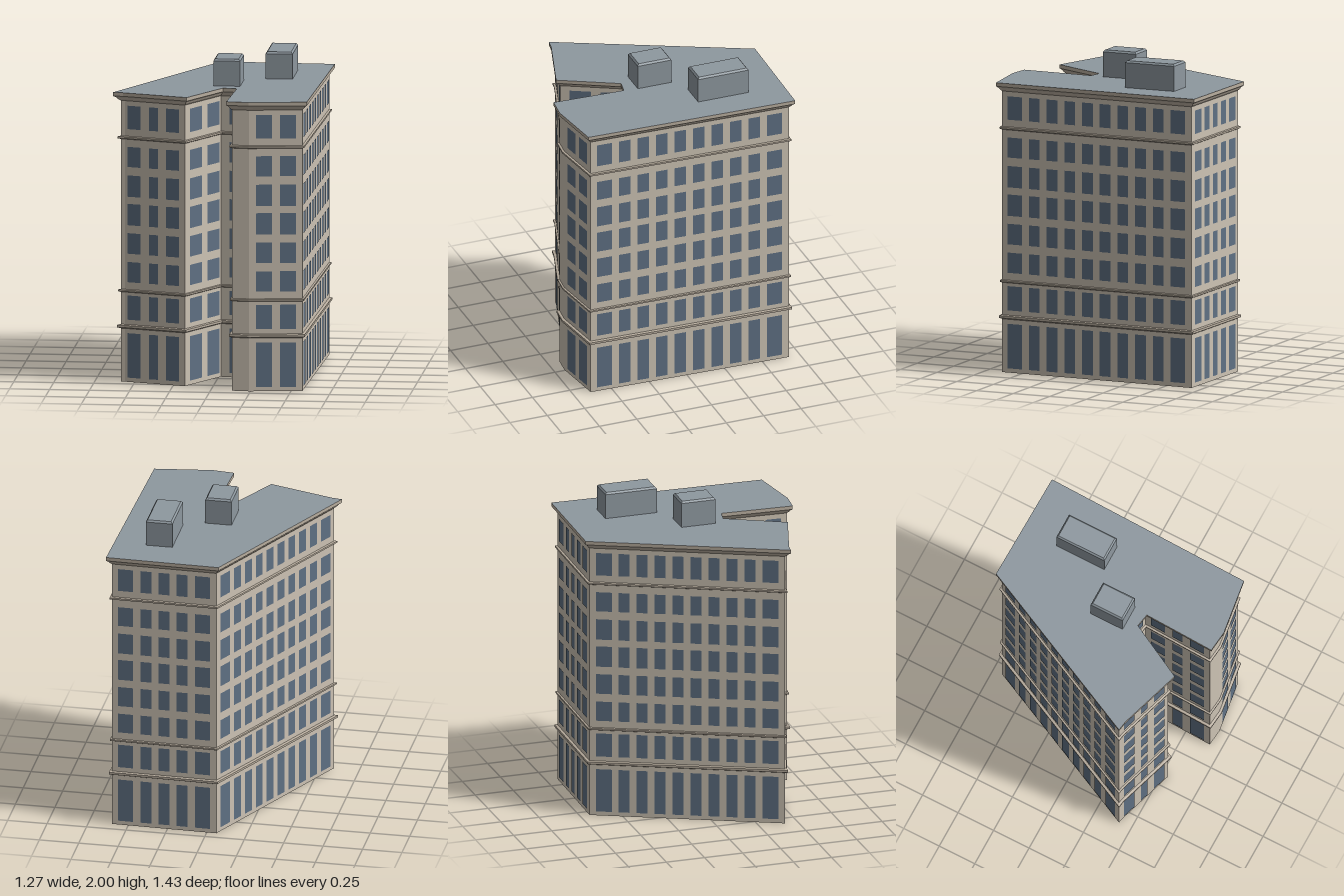
import * as THREE from 'three';

const material = (name, color, side = THREE.FrontSide) => {
  const m = new THREE.MeshStandardMaterial({ color, side });
  m.name = name;
  return m;
};

// Plan of the roof edge as [x, z], starting at the back
const ROOF = [
  [-0.08, -0.72], [0.635, -0.705], [0.6, 0.665], [0.24, 0.715], [0.1, 0.7],
  [0.118, 0.237], [0.03, 0.22], [-0.16, 0.58], [-0.57, 0.45], [-0.635, 0.44],
];
const OVERHANG = 0.031;

// Window rows as [bottom, top]
const ROWS = [
  [0.027, 0.308], [0.393, 0.546], [0.63, 0.758], [0.81, 0.94],
  [0.99, 1.125], [1.17, 1.305], [1.358, 1.485], [1.597, 1.745],
];

// Windows on each wall: count, start margin, end margin, width of end and middle windows
const WALLS = [
  { name: 'backWindows', edge: 0, layout: [5, 0.04, 0.04, 0.095, 0.07] },
  { name: 'leftSideWindows', edge: 1, layout: [10, 0.045, 0.04, 0.1, 0.075] },
  { name: 'frontWingWindows', edge: 2, layout: [2, 0.04, 0.045, 0.1, 0.1] },
  { name: 'courtLeftWindows', edge: 4, layout: [3, 0.04, 0.04, 0.1, 0.075] },
  { name: 'courtBackWindows', edge: 5, layout: [1, 0.03, 0.048, 0.053, 0.053] },
  { name: 'courtRightWindows', edge: 6, layout: [2, 0.02, 0.055, 0.135, 0.135] },
  { name: 'frontCornerWindows', edge: 7, layout: [3, 0.037, 0.02, 0.088, 0.06] },
  { name: 'rightSideWindows', edge: 9, layout: [10, 0.04, 0.04, 0.1, 0.07] },
];

// Outward unit normal of the edge a-b
function edgeNormal(a, b) {
  const dx = b[0] - a[0], dz = b[1] - a[1], l = Math.hypot(dx, dz);
  return [dz / l, -dx / l];
}

// Mitred offset of a closed plan
function offset(plan, d) {
  const n = plan.length;
  return plan.map((p, i) => {
    const u = edgeNormal(plan[(i + n - 1) % n], p);
    const v = edgeNormal(p, plan[(i + 1) % n]);
    const k = d / (1 + u[0] * v[0] + u[1] * v[1]);
    return [p[0] + (u[0] + v[0]) * k, p[1] + (u[1] + v[1]) * k];
  });
}

function flatGeometry(positions) {
  const g = new THREE.BufferGeometry();
  g.setAttribute('position', new THREE.Float32BufferAttribute(positions, 3));
  g.computeVertexNormals();
  return g;
}

// Outward quad from a to b, given the heights and plan points at both levels
function quad(out, a0, b0, y0, a1, b1, y1) {
  const bl = [b0[0], y0, b0[1]], al = [a0[0], y0, a0[1]];
  const ah = [a1[0], y1, a1[1]], bh = [b1[0], y1, b1[1]];
  out.push(...bl, ...al, ...ah, ...bl, ...ah, ...bh);
}

// Skin through a stack of [offset, y] rings around a plan
function skin(plan, rings) {
  const out = [], n = plan.length;
  const loops = rings.map(([d]) => offset(plan, d));
  for (let r = 0; r + 1 < rings.length; r++)
    for (let i = 0; i < n; i++) {
      const j = (i + 1) % n;
      quad(out, loops[r][i], loops[r][j], rings[r][1], loops[r + 1][i], loops[r + 1][j], rings[r + 1][1]);
    }
  return flatGeometry(out);
}

// Horizontal slab face
function cap(plan, y) {
  const shape = new THREE.Shape(plan.map(([x, z]) => new THREE.Vector2(x, -z)));
  return new THREE.ShapeGeometry(shape).rotateX(-Math.PI / 2).translate(0, y, 0);
}

// All panes of one wall, as thin faces just in front of it
function windows(a, b, [count, start, end, endWidth, midWidth]) {
  const out = [], nrm = edgeNormal(a, b);
  const length = Math.hypot(b[0] - a[0], b[1] - a[1]);
  const widths = Array.from({ length: count }, (_, i) => (i === 0 || i === count - 1 ? endWidth : midWidth));
  const glass = widths.reduce((s, w) => s + w, 0);
  const gap = count > 1 ? (length - start - end - glass) / (count - 1) : 0;
  const at = (s) => [0, 1].map((k) => a[k] + ((b[k] - a[k]) * s) / length + nrm[k] * 0.003);
  let s = start;
  for (const w of widths) {
    const p = at(s), q = at(s + w);
    for (const [y0, y1] of ROWS) quad(out, p, q, y0, p, q, y1);
    s += w + gap;
  }
  return flatGeometry(out);
}

export function createModel() {
  const stone = material('stone', 0xcdc3b4, THREE.DoubleSide);
  const trim = material('trim', 0xb9ae9f);
  const glass = material('glass', 0x5f7083);
  const roofing = material('roofing', 0x8e989f);

  const model = new THREE.Group();
  model.name = 'building';
  const add = (name, geometry, mat) => {
    const mesh = new THREE.Mesh(geometry, mat);
    mesh.name = name;
    model.add(mesh);
  };

  const plan = offset(ROOF, -OVERHANG);

  // Hollow ground floor with a ceiling, open underneath
  add('walls', skin(plan, [[0, 0], [0, 1.8]]), stone);
  add('groundFloorCeiling', cap(plan, 0.36), stone);

  // Windows
  for (const { name, edge, layout } of WALLS)
    add(name, windows(plan[edge], plan[(edge + 1) % plan.length], layout), glass);

  // String courses
  for (const [name, y, d, h] of [
    ['lowerBand', 0.349, 0.016, 0.013],
    ['middleBand', 0.575, 0.011, 0.009],
    ['upperBand', 1.542, 0.013, 0.01],
  ])
    add(name, skin(plan, [[0, y - h], [d, y - h * 0.4], [d, y + h * 0.7], [0, y + h]]), trim);

  // Cornice and roof
  add('cornice', skin(plan, [
    [0, 1.775], [0.012, 1.787], [0.016, 1.795], [OVERHANG, 1.807], [OVERHANG, 1.83],
  ]), trim);
  add('roof', cap(ROOF, 1.83), roofing);

  // Rooftop plant rooms with bevelled tops
  for (const [name, x0, x1, z0, z1] of [
    ['frontPlantRoom', -0.037, 0.13, -0.077, 0.148],
    ['backPlantRoom', 0.26, 0.428, -0.475, -0.138],
  ]) {
    const box = [[x0, z0], [x1, z0], [x1, z1], [x0, z1]];
    add(name, skin(box, [[0, 1.83], [0, 1.988], [-0.01, 2]]), roofing);
    add(name + 'Top', cap(offset(box, -0.01), 2), roofing);
  }
  return model;
}
